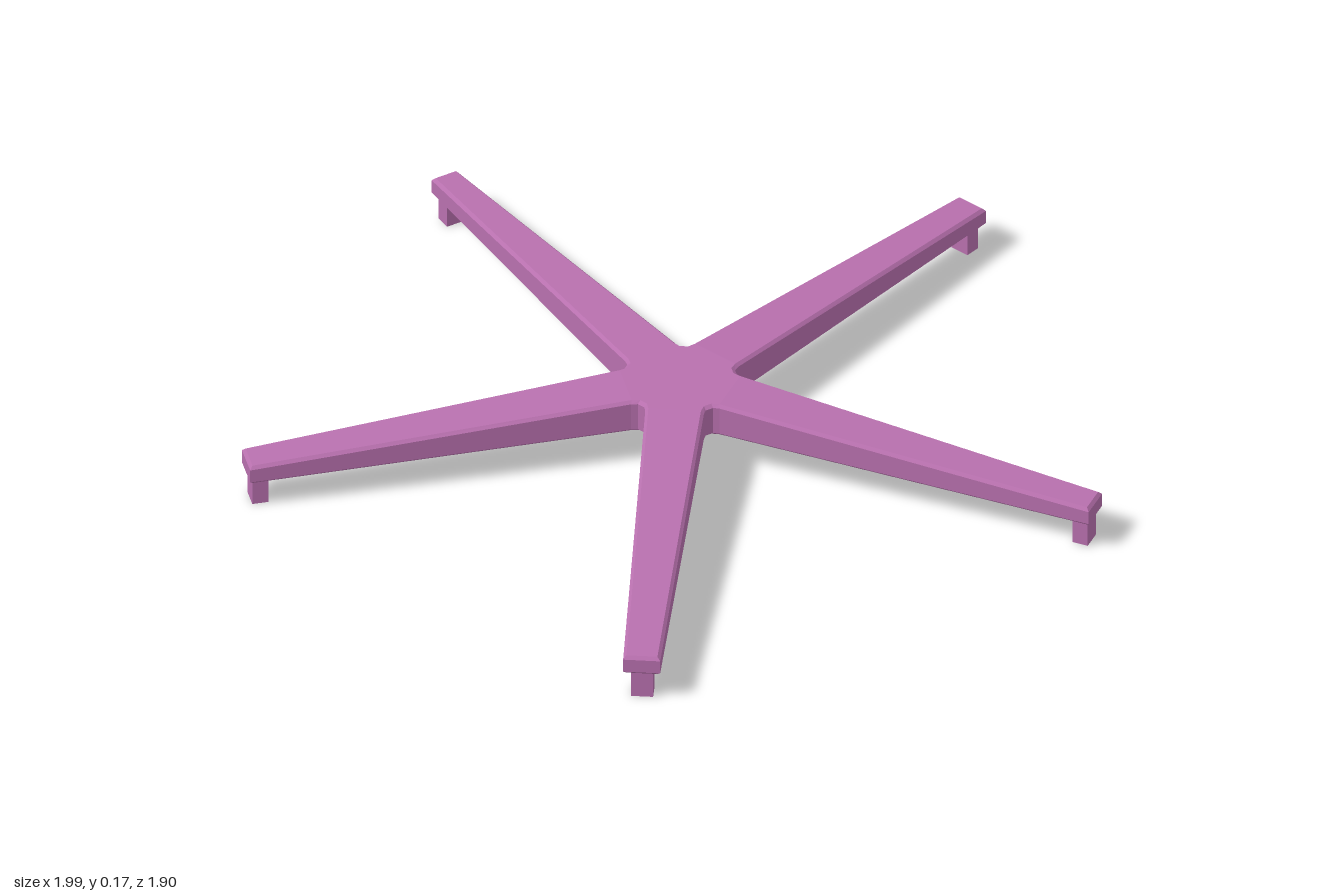
import * as THREE from 'three';

// Five arms: [length, half width at the tip], counter-clockwise from the front
const ARMS = [[1.035, 0.043], [1.043, 0.040], [1.037, 0.041], [1.049, 0.034], [1.028, 0.042]];
const STEP = (Math.PI * 2) / 5;

// Local arm coordinates (u across, r outward) to the ground plane
function place(k, u, r, y) {
  const a = k * STEP;
  return [Math.sin(a) * r + u * Math.cos(a), y, Math.cos(a) * r - u * Math.sin(a)];
}

// One star-shaped level: six points per arm, inset for the bevels
function level(inset, hubY, tipY) {
  const s = inset ? 1 : 0;
  const pts = [];
  ARMS.forEach(([len, hw], k) => {
    const half = [[0.071 - 0.005 * s, 0.115 - 0.007 * s, hubY],
      [0.068 - 0.007 * s, 0.13 - 0.003 * s, hubY],
      [hw - 0.007 * s, len - 0.007 * s, tipY]];
    half.forEach(([u, r, y]) => pts.push(place(k, -u, r, y)));
    half.reverse().forEach(([u, r, y]) => pts.push(place(k, u, r, y)));
  });
  return pts;
}

function starGeometry() {
  const levels = [level(true, 0.090, 0.067), level(false, 0.097, 0.074),
    level(false, 0.168, 0.108), level(true, 0.175, 0.116)];
  const n = levels[0].length;
  const pos = levels.flat(2);
  const idx = [];
  const quad = (a, b, c, d) => idx.push(a, b, c, a, c, d);
  // Side walls and bevels
  for (let l = 0; l < 3; l++) {
    for (let i = 0; i < n; i++) {
      const j = (i + 1) % n;
      quad(l * n + i, l * n + j, (l + 1) * n + j, (l + 1) * n + i);
    }
  }
  // Top and underside: a hub fan plus the strip along each arm
  const cap = (base, y, up) => {
    const centre = pos.length / 3;
    pos.push(0, y, 0);
    const tri = (a, b, c) => (up ? idx.push(a, b, c) : idx.push(a, c, b));
    for (let k = 0; k < 5; k++) {
      const p = base + k * 6;
      const next = base + ((k + 1) % 5) * 6;
      tri(centre, p, p + 5);
      tri(centre, p + 5, next);
      for (let i = 0; i < 2; i++) {
        tri(p + i, p + i + 1, p + 4 - i);
        tri(p + i, p + 4 - i, p + 5 - i);
      }
    }
  };
  cap(0, 0.090, false);
  cap(3 * n, 0.175, true);
  const g = new THREE.BufferGeometry();
  g.setAttribute('position', new THREE.Float32BufferAttribute(pos, 3));
  g.setIndex(idx);
  const flat = g.toNonIndexed();
  flat.computeVertexNormals();
  return flat;
}

export function createModel() {
  const model = new THREE.Group();
  model.name = 'fiveStarBase';
  const material = new THREE.MeshStandardMaterial({ color: 0xb870ae, flatShading: true });

  const base = new THREE.Group();
  base.name = 'base';
  base.position.set(-0.01, 0, -0.085);
  model.add(base);

  const star = new THREE.Mesh(starGeometry(), material);
  star.name = 'starArms';
  base.add(star);

  // Small square foot under each tip
  ARMS.forEach(([len, hw], k) => {
    const foot = new THREE.Mesh(new THREE.BoxGeometry(hw * 1.2, 0.076, 0.038), material);
    foot.name = 'foot' + (k + 1);
    foot.position.set(...place(k, 0, len - 0.028, 0.038));
    foot.rotation.y = k * STEP;
    base.add(foot);
  });
  return model;
}
